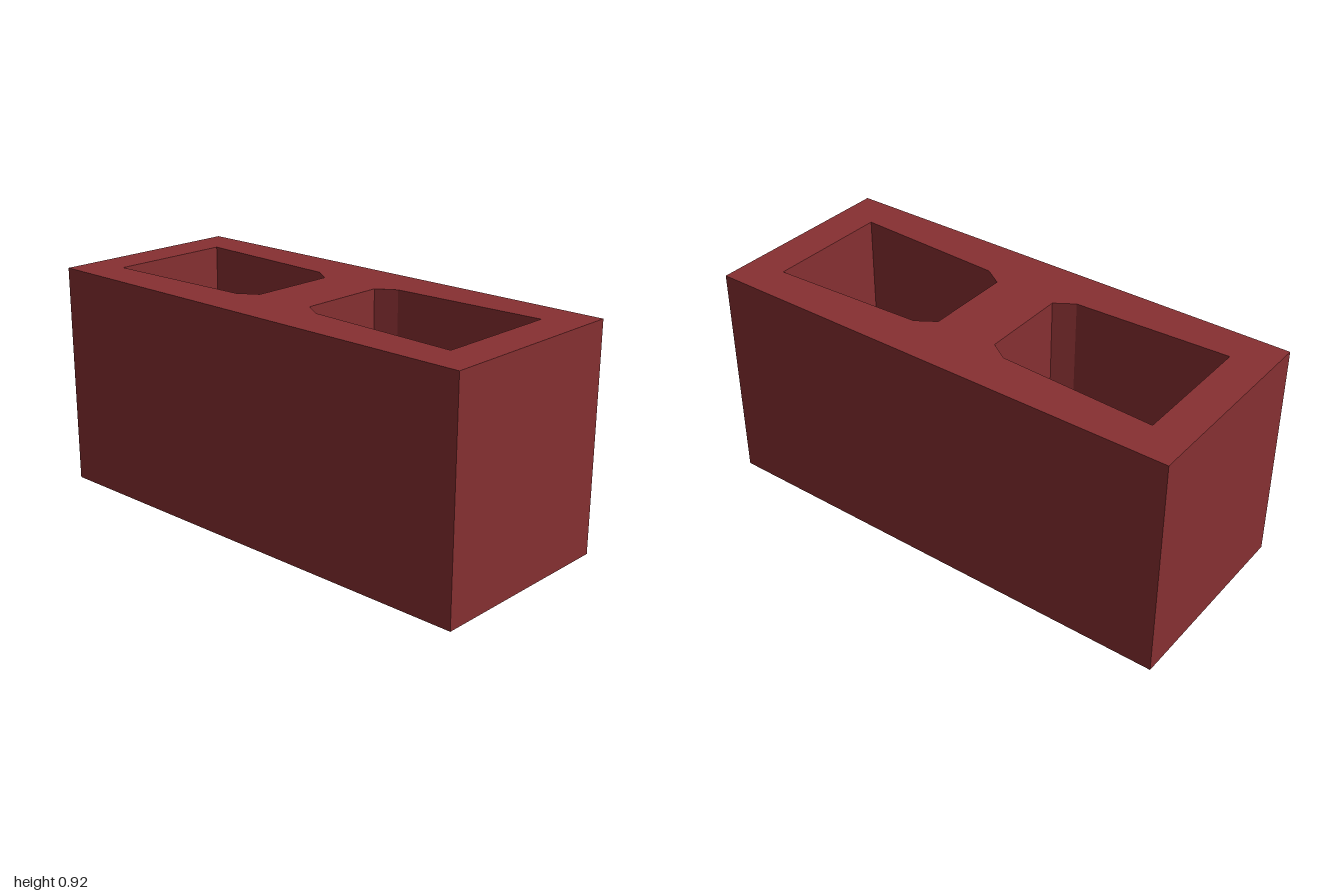
import * as THREE from 'three';

const WIDTH = 0.83, HEIGHT = 0.917, LENGTH = 2;

// Half outline of a core hole, from the middle web to the end wall: [half width, distance from centre]
const HOLE = [[0.18, 0.13], [0.23, 0.207], [0.259, 0.843]];

// Tapered hole with two chamfered corners; side is +1 or -1 along the length
function coreHole(side) {
  const right = HOLE.map(([x, d]) => new THREE.Vector2(x, d * side));
  const left = HOLE.map(([x, d]) => new THREE.Vector2(-x, d * side)).reverse();
  return new THREE.Path([...right, ...left]);
}

export function createModel() {
  const brickRed = new THREE.MeshStandardMaterial({ color: 0x873032 });
  brickRed.name = 'brickRed';

  // Rectangular outline pierced by two mirrored cores
  const w = WIDTH / 2, l = LENGTH / 2;
  const outline = new THREE.Shape([
    new THREE.Vector2(-w, -l), new THREE.Vector2(w, -l),
    new THREE.Vector2(w, l), new THREE.Vector2(-w, l),
  ]);
  for (const side of [1, -1]) outline.holes.push(coreHole(side));

  // Extruded upward from the ground
  const geometry = new THREE.ExtrudeGeometry(outline, { depth: HEIGHT, bevelEnabled: false });
  geometry.rotateX(-Math.PI / 2);

  const block = new THREE.Mesh(geometry, brickRed);
  block.name = 'hollowBlock';

  const model = new THREE.Group();
  model.name = 'masonryBlock';
  model.add(block);
  return model;
}
